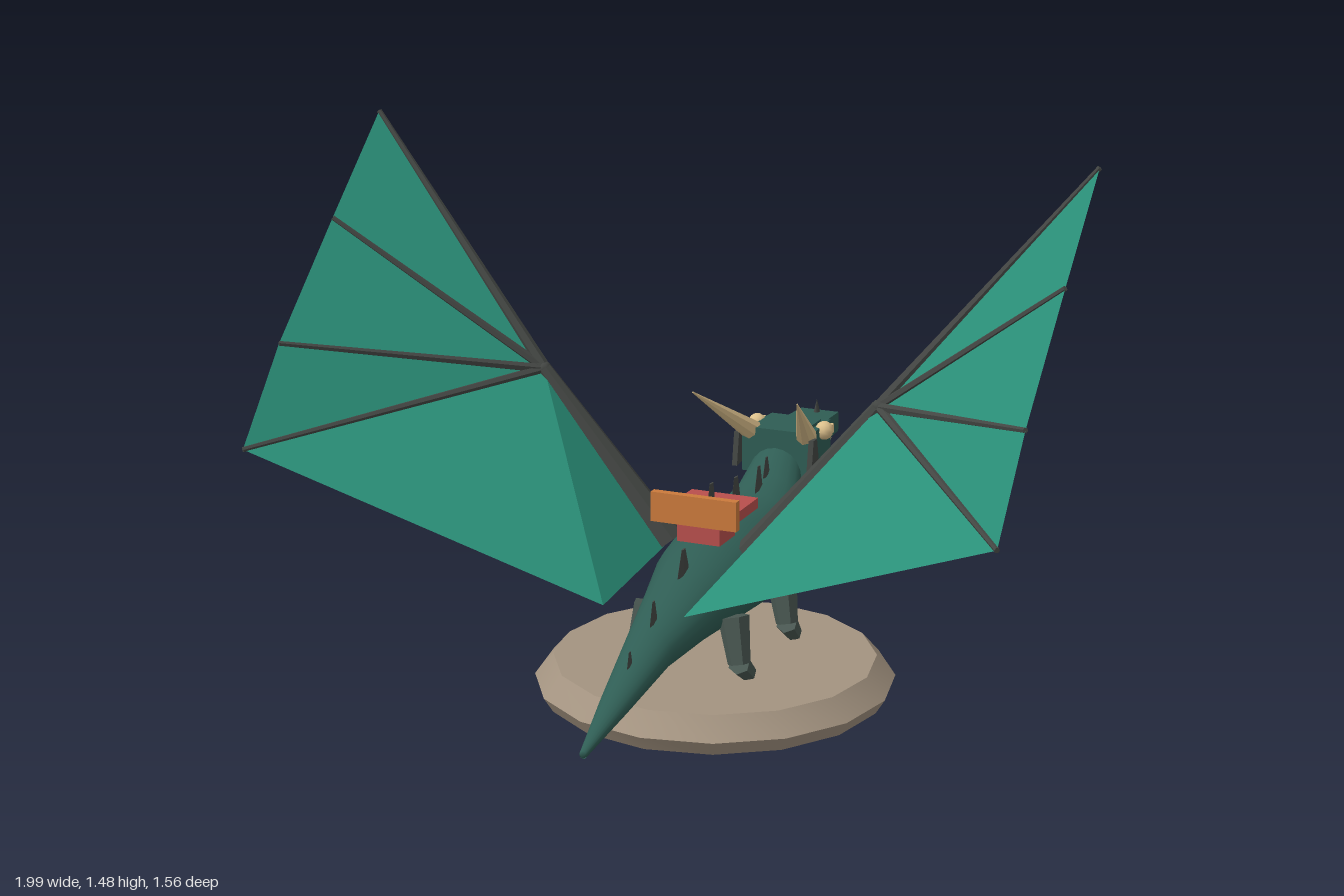
import * as THREE from 'three';
import { toCreasedNormals } from 'three/addons/utils/BufferGeometryUtils.js';

const mat = (name, color, extra = {}) => {
  const m = new THREE.MeshStandardMaterial({ color, ...extra });
  m.name = name;
  return m;
};
const V = (x, y, z) => new THREE.Vector3(x, y, z);

export function createModel() {
  const skin = mat('darkGreenSkin', 0x2f5d54);
  const belly = mat('tealBelly', 0x2a8f78);
  const membrane = mat('tealMembrane', 0x2a8f78, { side: THREE.DoubleSide });
  const bone = mat('boneGrey', 0x434643);
  const limb = mat('limbGrey', 0x4a5852);
  const cream = mat('cream', 0xdcc08c);
  const red = mat('saddleRed', 0xb84f4d);
  const orange = mat('backrestOrange', 0xcb7a3c);
  const stone = mat('stone', 0xa39380);

  const model = new THREE.Group();
  model.name = 'dragon';

  const add = (name, geo, material, x = 0, y = 0, z = 0, parent = model) => {
    const m = new THREE.Mesh(geo, material);
    m.name = name;
    m.position.set(x, y, z);
    parent.add(m);
    return m;
  };
  const box = (name, w, h, d, material, x, y, z) => add(name, new THREE.BoxGeometry(w, h, d), material, x, y, z);

  // Tapered round bar between two points
  const bar = (name, a, b, ra, rb, material, sides = 6) => {
    const geo = new THREE.CylinderGeometry(rb, ra, a.distanceTo(b), sides);
    const m = add(name, toCreasedNormals(geo, 0.6), material);
    m.position.copy(a).lerp(b, 0.5);
    m.quaternion.setFromUnitVectors(V(0, 1, 0), b.clone().sub(a).normalize());
    return m;
  };

  // Box whose front (-z) end is narrowed
  const taperedBox = (w, h, d, kx, ky) => {
    const geo = new THREE.BoxGeometry(w, h, d, 1, 1, 1);
    const p = geo.attributes.position;
    for (let i = 0; i < p.count; i++) {
      if (p.getZ(i) < 0) p.setXYZ(i, p.getX(i) * kx, p.getY(i) * ky, p.getZ(i));
    }
    geo.computeVertexNormals();
    return geo;
  };

  // Round plinth, hollow underneath
  const profile = [[0, 0.055], [0.425, 0.055], [0.44, 0], [0.455, 0], [0.48, 0.04], [0.43, 0.097], [0, 0.097]]
    .map(([r, y]) => new THREE.Vector2(r, y));
  add('plinth', toCreasedNormals(new THREE.LatheGeometry(profile, 16), 0.5), stone, 0, 0, -0.025).rotation.y = Math.PI / 2;

  // Body from tail tip to neck: z, top, bottom, half width
  const rings = [
    [0.78, 0.13, 0.11, 0.01], [0.6, 0.214, 0.152, 0.04], [0.4, 0.308, 0.198, 0.068],
    [0.2, 0.39, 0.205, 0.105], [0.05, 0.44, 0.205, 0.14], [-0.1, 0.46, 0.2, 0.16],
    [-0.2, 0.452, 0.2, 0.155], [-0.3, 0.465, 0.25, 0.13], [-0.38, 0.498, 0.305, 0.1],
    [-0.44, 0.55, 0.39, 0.078], [-0.5, 0.575, 0.485, 0.06],
  ];
  const N = 20;
  const pos = [];
  for (const [z, top, bottom, rx] of rings) {
    for (let j = 0; j < N; j++) {
      const a = (j / N) * Math.PI * 2;
      pos.push(rx * Math.sin(a), (top + bottom) / 2 - ((top - bottom) / 2) * Math.cos(a), z);
    }
  }
  const back = [], under = [];
  for (let i = 0; i < rings.length - 1; i++) {
    for (let j = 0; j < N; j++) {
      const k = (j + 1) % N;
      const a = i * N + j, b = i * N + k, c = a + N, d = b + N;
      const isBelly = i >= 2 && (j < 2 || j >= N - 2);
      (isBelly ? under : back).push(a, c, b, b, c, d);
    }
  }
  for (let j = 1; j < N - 1; j++) back.push(0, j, j + 1);
  const bodyGeo = new THREE.BufferGeometry();
  bodyGeo.setAttribute('position', new THREE.Float32BufferAttribute(pos, 3));
  bodyGeo.setIndex([...back, ...under]);
  bodyGeo.addGroup(0, back.length, 0);
  bodyGeo.addGroup(back.length, under.length, 1);
  bodyGeo.computeVertexNormals();
  add('body', bodyGeo, [skin, belly]);

  // Flat spines along the back: z, base height, height, half length
  const spines = [
    [-0.38, 0.49, 0.055, 0.025], [-0.325, 0.46, 0.075, 0.03], [-0.165, 0.44, 0.11, 0.043],
    [0, 0.44, 0.14, 0.042], [0.18, 0.385, 0.07, 0.038], [0.366, 0.31, 0.065, 0.025], [0.51, 0.245, 0.045, 0.018],
  ];
  for (const [z, y, h, r] of spines) {
    const geo = new THREE.CylinderGeometry(r * 0.3, r, h, 6).toNonIndexed();
    geo.computeVertexNormals();
    add('spine', geo, bone, 0, y + h / 2, z).scale.x = 0.25;
  }

  // Head, snout and lower jaw
  add('head', taperedBox(0.2, 0.12, 0.19, 0.88, 0.92), skin, 0, 0.538, -0.54);
  box('crown', 0.15, 0.02, 0.15, skin, 0, 0.594, -0.52);
  add('snout', taperedBox(0.125, 0.065, 0.16, 0.9, 0.85), skin, 0, 0.546, -0.7);
  box('lowerJaw', 0.1, 0.024, 0.14, belly, 0, 0.486, -0.662);
  const noseHorn = add('noseHorn', new THREE.ConeGeometry(0.016, 0.045, 6), bone, 0, 0.59, -0.755);
  noseHorn.scale.x = 0.6;

  // Saddle with backrest
  box('saddle', 0.19, 0.028, 0.19, red, 0, 0.512, 0.005);
  box('saddlePad', 0.12, 0.06, 0.1, red, 0, 0.47, 0.035);
  box('backrest', 0.24, 0.08, 0.022, orange, 0, 0.537, 0.108);

  const frillShape = new THREE.Shape(
    [[-0.415, 0.497], [-0.475, 0.505], [-0.455, 0.59], [-0.43, 0.59]].map(([z, y]) => new THREE.Vector2(-z, y)));

  for (const s of [1, -1]) {
    // Horn, eye, brow, frill, nostril and teeth
    bar('horn', V(s * 0.08, 0.588, -0.47), V(s * 0.15, 0.752, -0.222), 0.03, 0.002, cream, 8);
    add('eye', new THREE.SphereGeometry(0.026, 10, 8), cream, s * 0.1, 0.585, -0.555);
    box('brow', 0.03, 0.025, 0.03, cream, s * 0.095, 0.58, -0.59);
    const frill = add('frill', new THREE.ExtrudeGeometry(frillShape, { depth: 0.015, bevelEnabled: false }), bone, s * 0.11 - 0.0075, 0, 0);
    frill.rotation.y = Math.PI / 2;
    for (const z of [-0.66, -0.7, -0.74]) {
      add('tooth', new THREE.ConeGeometry(0.007, 0.024, 5), cream, s * 0.048, 0.51, z).rotation.x = Math.PI;
    }

    // Legs: hip, knee and foot
    for (const [hip, knee, foot] of [[-0.195, -0.175, -0.225], [0.135, 0.155, 0.095]]) {
      const h = V(s * 0.12, 0.275, hip), k = V(s * 0.145, 0.155, knee), f = V(s * 0.145, 0.108, foot);
      bar('thigh', h, k, 0.042, 0.03, limb);
      bar('shin', k, f, 0.03, 0.023, limb);
    }

    // Wing bones
    const shoulder = V(s * 0.12, 0.405, 0.003), elbow = V(s * 0.468, 0.845, 0.025);
    const tips = [[1.48, -0.06], [1.24, 0.2], [0.97, 0.485], [0.74, 0.675]].map(([y, z]) => V(s * 0.99, y, z));
    bar('wingArm', shoulder, elbow, 0.046, 0.02, bone, 8);
    add('wingElbow', new THREE.SphereGeometry(0.02, 8, 6), bone, elbow.x, elbow.y, elbow.z);
    tips.forEach((t, i) => bar('wingFinger', elbow, t, i ? 0.013 : 0.018, 0.007, bone));

    // Wing membrane fanned from the elbow
    const root = V(s * 0.11, 0.37, 0.43);
    const rim = [...tips, root, shoulder];
    const tris = [];
    for (let i = 0; i < rim.length - 1; i++) tris.push(elbow, rim[i], rim[i + 1]);
    const web = new THREE.BufferGeometry().setFromPoints(tris);
    web.computeVertexNormals();
    add('wingMembrane', web, membrane);
  }
  return model;
}
